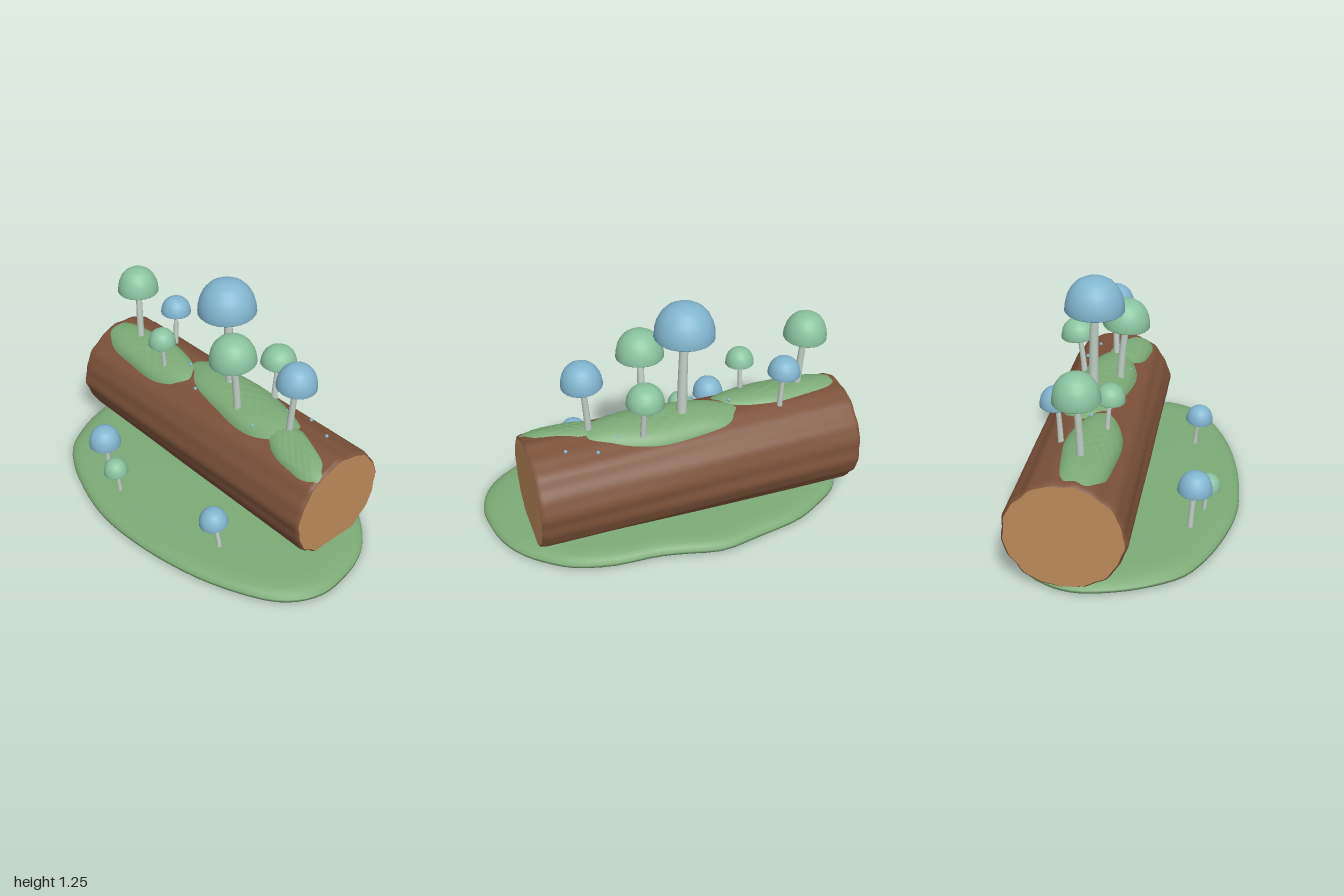
import * as THREE from 'three';
import { mergeVertices } from 'three/addons/utils/BufferGeometryUtils.js';

const material = (name, color) => {
  const m = new THREE.MeshStandardMaterial({ color });
  m.name = name;
  return m;
};
const V2 = (list) => list.map(([x, y]) => new THREE.Vector2(x, y));

// Log axis and radii
const LOG = { y: 0.303, z: -0.165, ry: 0.293, rz: 0.302 };

// Move every vertex by a rule, then weld and smooth
function reshape(geometry, rule) {
  const p = geometry.attributes.position;
  const v = new THREE.Vector3();
  for (let i = 0; i < p.count; i++) {
    v.fromBufferAttribute(p, i);
    rule(v);
    p.setXYZ(i, v.x, v.y, v.z);
  }
  geometry.deleteAttribute('uv');
  geometry.deleteAttribute('normal');
  const welded = mergeVertices(geometry, 1e-5);
  welded.computeVertexNormals();
  return welded;
}

function part(parent, name, geometry, mat) {
  const mesh = new THREE.Mesh(geometry, mat);
  mesh.name = name;
  parent.add(mesh);
  return mesh;
}

// Low grassy mound: a lathe stretched to an irregular outline
function moundGeometry() {
  const outline = new THREE.CatmullRomCurve3([
    [-0.12, 0.62], [0.1, 0.61], [0.3, 0.58], [0.5, 0.53], [0.7, 0.45], [0.87, 0.35], [0.96, 0.24],
    [1, 0.12], [0.995, 0], [0.96, -0.16], [0.89, -0.29], [0.78, -0.4], [0.65, -0.485], [0.45, -0.54],
    [0.22, -0.553], [0.08, -0.58], [-0.12, -0.625], [-0.35, -0.59], [-0.6, -0.54], [-0.75, -0.465],
    [-0.9, -0.36], [-0.98, -0.22], [-1, -0.1], [-0.96, 0.1], [-0.89, 0.26], [-0.8, 0.39], [-0.66, 0.48],
    [-0.5, 0.545], [-0.3, 0.6],
  ].map(([x, z]) => new THREE.Vector3(x, 0, z)), true);
  const profile = V2([[0, 0.02], [0.4, 0.017], [0.75, 0.009], [0.96, 0], [1, 0.004], [0.998, 0.018],
    [0.975, 0.036], [0.93, 0.049], [0.85, 0.058], [0.6, 0.064], [0.3, 0.067], [0, 0.068]]);
  return reshape(new THREE.LatheGeometry(profile, 80), (v) => {
    const s = Math.hypot(v.x, v.z);
    const t = (Math.atan2(v.x, v.z) / (2 * Math.PI) + 1) % 1;
    const p = outline.getPoint(t);
    v.x = s * p.x;
    v.z = s * p.z;
  });
}

// Ridges running along the log, drifting slowly with x
const ridge = (a, x) => 1 + 0.012 * Math.sin(9 * a + 1.2 * Math.sin(2.5 * x)) + 0.009 * Math.sin(17 * a + 1.5 * x);

function onLog(v, x, a, r) {
  v.set(x, LOG.y + LOG.ry * r * Math.cos(a), LOG.z + LOG.rz * r * Math.sin(a));
}

function barkGeometry() {
  const pts = [[0.955, -0.985], [0.985, -0.978], [1, -0.96]];
  for (let i = 1; i < 20; i++) pts.push([1, -0.96 + (1.73 * i) / 20]);
  pts.push([1, 0.77], [0.985, 0.788], [0.955, 0.795]);
  const g = new THREE.LatheGeometry(V2(pts), 96);
  g.rotateZ(-Math.PI / 2).rotateX(Math.PI / 2);
  return reshape(g, (v) => {
    const a = Math.atan2(v.z, v.y);
    onLog(v, v.x, a, Math.hypot(v.y, v.z) * ridge(a, v.x));
  });
}

// Sawn end face following the bark outline
function cutGeometry(x, sign) {
  const g = new THREE.CircleGeometry(0.957, 96);
  g.rotateY((sign * Math.PI) / 2);
  return reshape(g, (v) => {
    const a = Math.atan2(v.z, v.y);
    onLog(v, x, a, Math.hypot(v.y, v.z) * ridge(a, x));
  });
}

// Bumpy moss cushion wrapped over the top of the log
function mossGeometry({ x, hx, angle, skew, half, h }) {
  const rad = Math.PI / 180;
  return reshape(new THREE.RingGeometry(0.001, 1, 56, 14), (v) => {
    const { x: u, y: w } = v;
    const d2 = u * u + w * w;
    const wobble = 1 + 0.05 * Math.sin(5 * Math.atan2(w, u) + x * 9);
    const a = (angle + skew * u - w * half * wobble) * rad;
    const bump = 0.008 * Math.sin(u * hx * 75) * Math.sin(w * 17 + u * 5) * (1 - d2);
    onLog(v, x + u * hx, a, 0.985 + h * (1 - d2 * d2) + bump);
  });
}

// Mushroom: foot [x, y, z], cap centre [x, z], cap bottom and top heights, radius
function mushroom(name, foot, cap, y0, y1, r, capMat, stemMat) {
  const g = new THREE.Group();
  g.name = name;
  const rise = y0 + r * 0.15 - foot[1];
  const dx = cap[0] - foot[0];
  const dz = cap[1] - foot[2];
  const stem = new THREE.CylinderGeometry(r * 0.14, r * 0.18, rise, 12, 8, true);
  part(g, 'stem', reshape(stem, (v) => {
    const t = THREE.MathUtils.clamp(v.y / rise + 0.5, 0, 1);
    const bend = Math.pow(t, 1.4);
    v.set(v.x + dx * bend, t * rise, v.z + dz * bend);
  }), stemMat);
  const dome = V2([[0, 0.1], [0.5, 0.07], [0.86, 0.01], [0.96, 0], [1, 0.04], [0.98, 0.25], [0.92, 0.46],
    [0.8, 0.67], [0.62, 0.84], [0.42, 0.94], [0.2, 0.99], [0, 1]]);
  const top = part(g, 'cap', new THREE.LatheGeometry(dome, 24), capMat);
  top.scale.set(r, (y1 - y0) * 0.97, r);
  top.position.set(dx, y0 + 0.004 - foot[1], dz);
  top.rotation.set((dz / rise) * 0.8, 0, (-dx / rise) * 0.8);
  g.position.set(...foot);
  return g;
}

export function createModel() {
  const model = new THREE.Group();
  model.name = 'mushroomLog';
  const bark = material('bark brown', 0x7d5239);
  const wood = material('cut wood tan', 0xbd8b5a);
  const moss = material('moss green', 0x7cab76);
  const green = material('cap green', 0x8ac4a0);
  const blue = material('cap blue', 0x82b6d0);
  const pale = material('stem pale', 0xc0d0c6);

  part(model, 'grassMound', moundGeometry(), moss);

  // Log
  const log = new THREE.Group();
  log.name = 'log';
  part(log, 'bark', barkGeometry(), bark);
  part(log, 'leftCut', cutGeometry(0.795, 1), wood);
  part(log, 'rightCut', cutGeometry(-0.985, -1), wood);
  model.add(log);

  // Moss cushions
  [
    { x: -0.61, hx: 0.37, angle: 15, skew: 2, half: 28, h: 0.11 },
    { x: 0.08, hx: 0.43, angle: -1, skew: 8, half: 34, h: 0.135 },
    { x: 0.565, hx: 0.225, angle: 20, skew: 12, half: 21, h: 0.085 },
  ].forEach((m) => part(model, 'mossCushion', mossGeometry(m), moss));

  // Mushrooms on the log and on the ground
  [
    ['logMushroom', [-0.743, 0.58, -0.12], [-0.76, -0.13], 0.9, 1.05, 0.116, green],
    ['logMushroom', [-0.58, 0.57, -0.25], [-0.585, -0.26], 0.785, 0.885, 0.086, blue],
    ['logMushroom', [-0.44, 0.56, -0.045], [-0.435, -0.03], 0.745, 0.84, 0.077, green],
    ['logMushroom', [-0.045, 0.59, -0.185], [-0.06, -0.17], 1.065, 1.255, 0.157, blue],
    ['logMushroom', [0.135, 0.57, -0.07], [0.132, -0.035], 0.91, 1.065, 0.126, green],
    ['logMushroom', [0.2, 0.57, -0.28], [0.197, -0.305], 0.805, 0.915, 0.098, green],
    ['logMushroom', [0.45, 0.57, -0.14], [0.475, -0.148], 0.88, 1.015, 0.107, blue],
    ['groundMushroom', [-0.442, 0.055, 0.385], [-0.438, 0.402], 0.265, 0.38, 0.09, blue],
    ['groundMushroom', [-0.268, 0.055, 0.443], [-0.275, 0.457], 0.19, 0.275, 0.068, green],
    ['groundMushroom', [0.43, 0.055, 0.33], [0.412, 0.352], 0.22, 0.315, 0.077, blue],
  ].forEach((m) => model.add(mushroom(...m, pale)));

  // Tiny dew beads
  [
    [0.323, 0.595, -0.25], [0.45, 0.575, -0.31], [0.605, 0.585, -0.26], [0.285, 0.585, -0.035],
    [-0.33, 0.608, -0.145], [-0.16, 0.588, -0.03],
  ].forEach((p) => part(model, 'dewBead', new THREE.SphereGeometry(0.01, 10, 8), blue).position.set(...p));

  return model;
}
